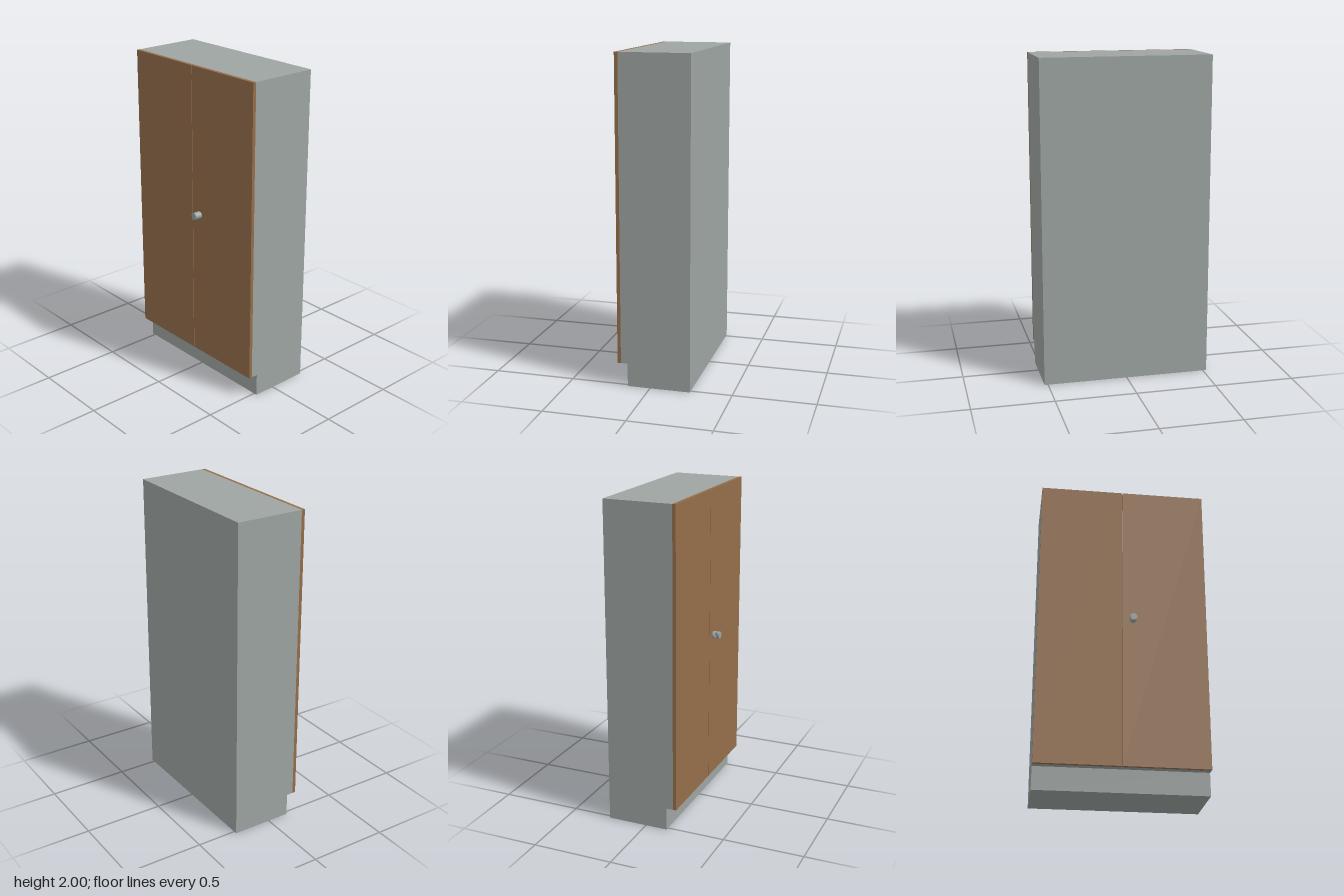
import * as THREE from 'three';

const material = (name, color) => {
  const m = new THREE.MeshStandardMaterial({ color });
  m.name = name;
  return m;
};

export function createModel() {
  const group = new THREE.Group();
  group.name = 'cupboard';
  const grey = material('grey carcass', 0x9da4a1);
  const wood = material('brown wood', 0x956e4a);
  const metal = material('grey metal', 0x9aa3a3);

  const add = (name, geometry, mat) => {
    const mesh = new THREE.Mesh(geometry, mat);
    mesh.name = name;
    group.add(mesh);
    return mesh;
  };

  // Carcass: side profile with a toe recess, extruded across the width
  const halfWidth = 0.522, back = -0.247, front = 0.181, toe = 0.139, base = 0.142;
  const profile = new THREE.Shape([
    [-back, 0], [-back, 2], [-front, 2], [-front, base], [-toe, base], [-toe, 0],
  ].map(([x, y]) => new THREE.Vector2(x, y)));
  const carcass = new THREE.ExtrudeGeometry(profile, { depth: 2 * halfWidth, bevelEnabled: false });
  carcass.translate(0, 0, -halfWidth).rotateY(Math.PI / 2);
  add('carcass', carcass, grey);

  // Two doors with a narrow gap between them
  const doorDepth = 0.021;
  for (const [name, x0, x1] of [['rightDoor', -halfWidth, -0.004], ['leftDoor', 0, halfWidth]]) {
    add(name, new THREE.BoxGeometry(x1 - x0, 2 - base, doorDepth), wood)
      .position.set((x0 + x1) / 2, (2 + base) / 2, front + doorDepth / 2);
  }

  // Round knob with a finger groove scooped from its inner side
  const radius = 0.022, length = 0.045;
  const knob = new THREE.CylinderGeometry(radius, radius, length, 32, 18).rotateX(Math.PI / 2);
  const p = knob.attributes.position;
  for (let i = 0; i < p.count; i++) {
    const t = (p.getZ(i) / length + 0.5 - 0.22) / 0.56;
    const depth = t > 0 && t < 1 ? 0.012 * Math.pow(Math.sin(Math.PI * t), 0.5) : 0;
    p.setX(i, Math.max(p.getX(i), depth - radius));
  }
  knob.computeVertexNormals();
  add('knob', knob, metal).position.set(0.062, 1.085, front + doorDepth + length / 2);

  return group;
}
